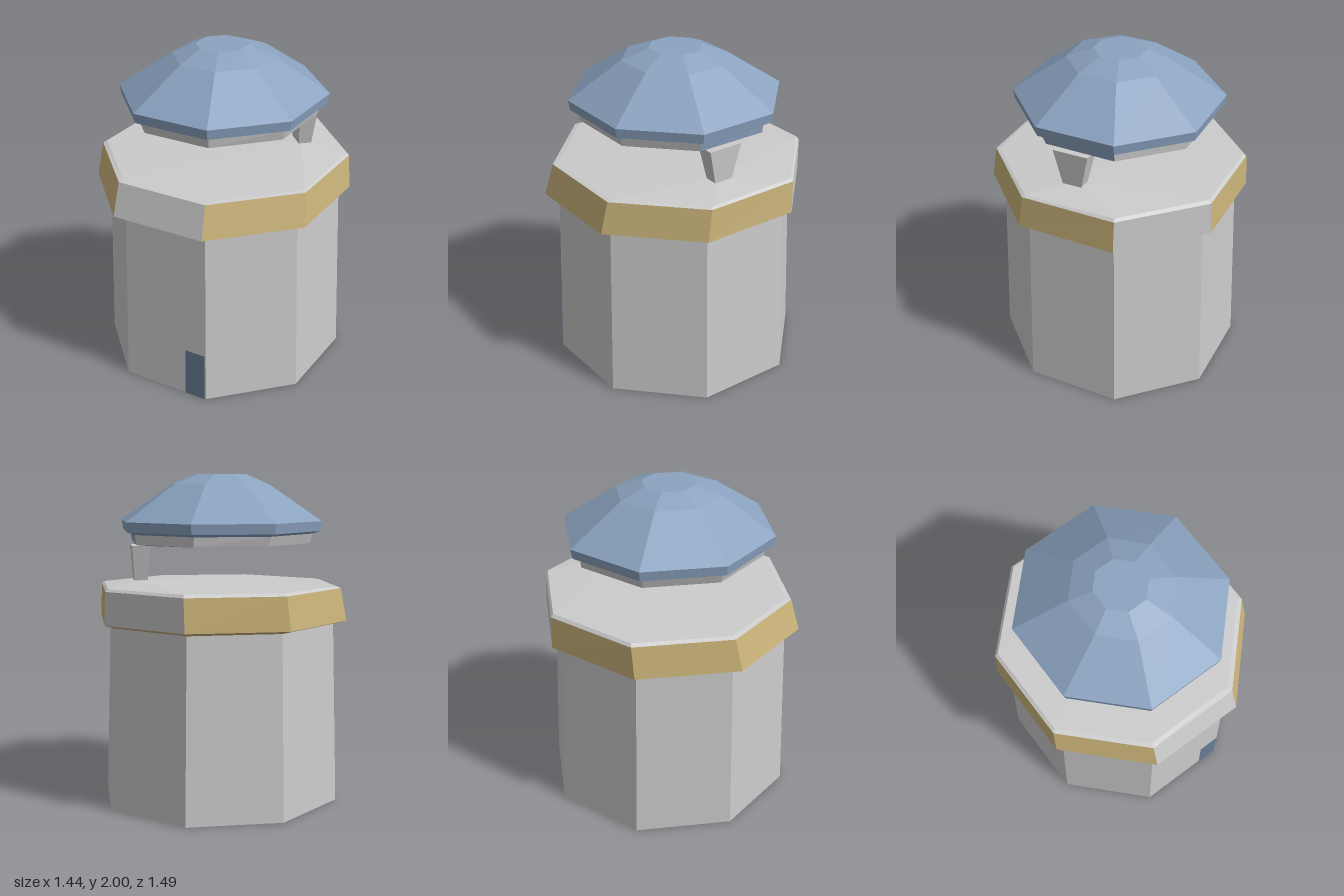
import * as THREE from 'three';

const GREY = 0xcccccc, BLUE = 0x8ba3c0, GOLD = 0xcdb67c, DOOR = 0x687c93;
const ALL = [0, 1, 2, 3, 4, 5, 6, 7];

// Octagonal ring from its x and z limits; y may be a number or a function of (x, z)
function ring(y, x0, x1, z0, z1) {
  return ALL.map((i) => {
    const a = (i + 0.5) * Math.PI / 4, c = Math.cos(Math.PI / 8);
    const x = (x0 + x1) / 2 + (x1 - x0) / 2 * Math.sin(a) / c;
    const z = (z0 + z1) / 2 + (z1 - z0) / 2 * Math.cos(a) / c;
    return new THREE.Vector3(x, typeof y === 'function' ? y(x, z) : y, z);
  });
}
const point = (y, x, z) => ring(y, x, x, z, z);

function mesh(name, geometry, color) {
  const m = new THREE.Mesh(geometry, new THREE.MeshStandardMaterial({
    color, flatShading: true, side: THREE.DoubleSide,
  }));
  m.name = name;
  return m;
}

// Flat-sided skin through a stack of rings, on the chosen sides only
// (0 = front left, then on round the back; 3 = back, 7 = front)
function loft(name, rings, color, sides = ALL) {
  const pts = [];
  for (let r = 0; r < rings.length - 1; r++) {
    for (const i of sides) {
      const j = (i + 1) % 8, lo = rings[r], hi = rings[r + 1];
      for (const tri of [[lo[i], lo[j], hi[j]], [lo[i], hi[j], hi[i]]]) {
        const area = tri[1].clone().sub(tri[0]).cross(tri[2].clone().sub(tri[0])).length();
        if (area > 1e-7) pts.push(...tri);
      }
    }
  }
  const g = new THREE.BufferGeometry().setFromPoints(pts);
  g.computeVertexNormals();
  return mesh(name, g, color);
}

export function createModel() {
  const model = new THREE.Group();
  model.name = 'roundTower';

  // Tapered wall, open below
  model.add(loft('wall', [
    ring(0, -0.68, 0.685, -0.72, 0.69),
    ring(1.11, -0.65, 0.655, -0.685, 0.665),
  ], GREY));

  // Door panel lying on the sloping front wall
  const door = new THREE.PlaneGeometry(0.135, 0.305);
  door.translate(0.21, 0.1525, 0);
  const dp = door.attributes.position;
  for (let i = 0; i < dp.count; i++) dp.setZ(i, 0.694 - dp.getY(i) * 0.0225);
  door.computeVertexNormals();
  model.add(mesh('door', door, DOOR));

  // Band round the top: gold, with plain front and back panels
  const bandLow = ring(1.12, -0.72, 0.72, -0.742, 0.745);
  const bandTop = ring(1.32, -0.70, 0.70, -0.74, 0.69);
  model.add(loft('bandUnderside', [ring(1.10, -0.65, 0.655, -0.685, 0.665), bandLow], GOLD));
  model.add(loft('bandPanels', [bandLow, bandTop], GOLD, [0, 1, 2, 4, 5, 6]));
  model.add(loft('bandPlainPanels', [bandLow, bandTop], GREY, [3, 7]));

  // Deck, rising gently to the foot of the post
  model.add(loft('deck', [
    bandTop,
    ring((x, z) => 1.331 - 0.008 * z - 0.004 * x, -0.68, 0.68, -0.725, 0.66),
    point(1.36, 0.38, -0.32),
  ], GREY));

  // Single tapered post at the back left corner
  const post = new THREE.BoxGeometry(1, 0.215, 1);
  const pp = post.attributes.position;
  for (let i = 0; i < pp.count; i++) {
    const top = pp.getY(i) > 0;
    pp.setX(i, pp.getX(i) * (top ? 0.22 : 0.12));
    pp.setZ(i, pp.getZ(i) * (top ? 0.11 : 0.08));
  }
  post.rotateY(Math.PI * 0.75);
  post.translate(0.38, 1.4625, -0.32);
  post.computeVertexNormals();
  model.add(mesh('post', post, GREY));

  // Collar beneath the roof, blue above the post, with a ceiling dipping to the post
  const collarLow = ring(1.587, -0.51, 0.52, -0.545, 0.53);
  const collarTop = ring(1.645, -0.53, 0.535, -0.55, 0.54);
  model.add(loft('collar', [collarLow, collarTop], GREY, [0, 1, 3, 4, 5, 6, 7]));
  model.add(loft('collarPanel', [collarLow, collarTop], BLUE, [2]));
  model.add(loft('ceiling', [point(1.565, 0.38, -0.32), collarLow], BLUE));

  // Faceted dome roof with its eave
  model.add(loft('roof', [
    collarTop,
    ring(1.66, -0.57, 0.575, -0.595, 0.58),
    ring(1.72, -0.58, 0.585, -0.605, 0.59),
    ring(1.94, -0.275, 0.287, -0.30, 0.295),
    ring(2.0, -0.15, 0.14, -0.155, 0.145),
    point(2.0, -0.005, -0.005),
  ], BLUE));

  return model;
}
